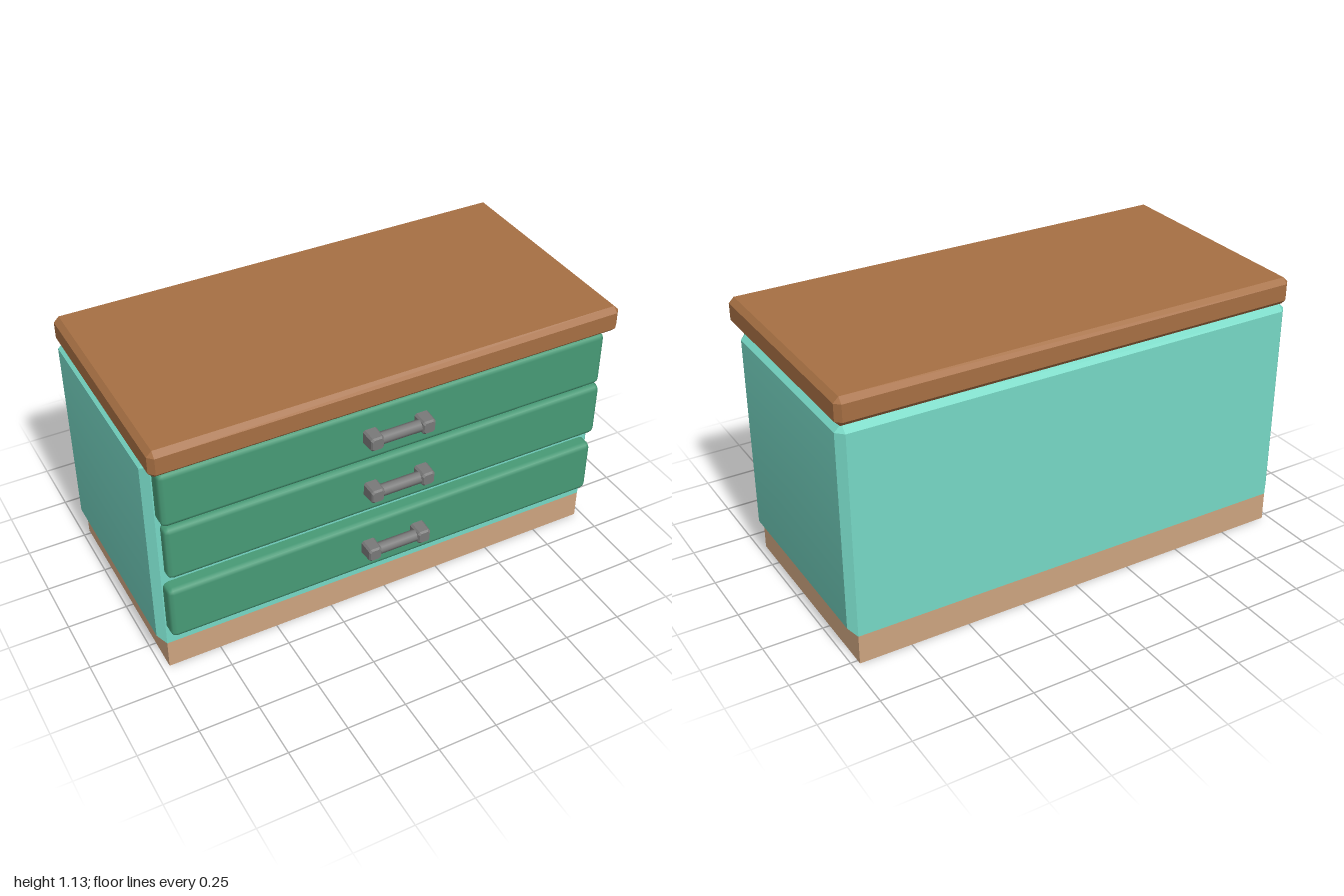
import * as THREE from 'three';
import { ConvexGeometry } from 'three/addons/geometries/ConvexGeometry.js';
import { RoundedBoxGeometry } from 'three/addons/geometries/RoundedBoxGeometry.js';

const makeMaterial = (name, color) => {
  const m = new THREE.MeshStandardMaterial({ color });
  m.name = name;
  return m;
};

const addMesh = (parent, name, geometry, material, x = 0, y = 0, z = 0) => {
  const mesh = new THREE.Mesh(geometry, material);
  mesh.name = name;
  mesh.position.set(x, y, z);
  parent.add(mesh);
  return mesh;
};

// Box with every edge cut by a flat bevel b
function bevelBox(w, h, d, b) {
  const pts = [];
  for (const x of [-w / 2, w / 2]) for (const y of [-h / 2, h / 2]) for (const z of [-d / 2, d / 2]) {
    const ix = x - Math.sign(x) * b, iy = y - Math.sign(y) * b, iz = z - Math.sign(z) * b;
    pts.push(new THREE.Vector3(x, iy, iz), new THREE.Vector3(ix, y, iz), new THREE.Vector3(ix, iy, z));
  }
  return new ConvexGeometry(pts);
}

// Carcass: flat front and back, side panels standing proud with bevelled borders
function carcassGeometry() {
  const pts = [];
  for (const s of [-1, 1]) {
    for (const y of [0.125, 1.0]) pts.push(new THREE.Vector3(s * 0.97, y, 0.39));
    for (const y of [0.125, 0.99]) pts.push(new THREE.Vector3(s * 0.97, y, -0.52));
    for (const z of [0.36, -0.49]) {
      pts.push(new THREE.Vector3(s * 0.97, 1.018, z));
      for (const y of [0.155, 0.99]) pts.push(new THREE.Vector3(s, y, z));
    }
  }
  const geo = new ConvexGeometry(pts);
  // Soften the lower border of the side panels
  const p = geo.attributes.position, n = geo.attributes.normal;
  for (let i = 0; i < p.count; i++) {
    const nx = n.getX(i);
    const onSide = Math.abs(nx) > 0.95 || (Math.abs(nx) > 0.5 && n.getY(i) < -0.5);
    if (onSide && Math.abs(p.getX(i)) > 0.99 && p.getY(i) < 0.2) {
      n.setXYZ(i, Math.sign(nx) * 0.92, -0.38, 0);
    }
  }
  return geo;
}

// Handle post: chamfered block that narrows towards the front
function postGeometry() {
  const pts = [];
  for (const [z, w, h] of [[0, 0.03, 0.032], [0.062, 0.028, 0.029], [0.07, 0.023, 0.023]]) {
    const c = 0.008;
    for (const sx of [-1, 1]) for (const sy of [-1, 1]) {
      pts.push(new THREE.Vector3(sx * w, sy * (h - c), z), new THREE.Vector3(sx * (w - c), sy * h, z));
    }
  }
  return new ConvexGeometry(pts);
}

export function createModel() {
  const group = new THREE.Group();
  group.name = 'drawerChest';
  const teal = makeMaterial('teal paint', 0x76d7c4);
  const green = makeMaterial('green paint', 0x479a76);
  const brown = makeMaterial('brown wood', 0xa66f43);
  const tan = makeMaterial('tan wood', 0xcca37f);
  const grey = makeMaterial('grey metal', 0x787878);

  addMesh(group, 'plinth', new THREE.BoxGeometry(1.94, 0.125, 0.91), tan, 0, 0.0625, -0.065);
  addMesh(group, 'carcass', carcassGeometry(), teal);
  addMesh(group, 'top', bevelBox(2, 0.115, 1, 0.022), brown, 0, 1.0725, -0.02);

  // Drawers from top to bottom: centre x, centre y, back z, front z
  const drawers = [
    [-0.002, 0.878, 0.35, 0.45],
    [0.002, 0.626, 0.394, 0.455],
    [-0.002, 0.322, 0.35, 0.45],
  ];
  const post = postGeometry();
  const bar = new THREE.CylinderGeometry(0.025, 0.025, 0.2, 8).rotateZ(Math.PI / 2);
  for (const [x, y, back, front] of drawers) {
    const drawer = new THREE.Group();
    drawer.name = 'drawer';
    drawer.position.set(x, y, 0);
    group.add(drawer);
    addMesh(drawer, 'drawerFront', new RoundedBoxGeometry(1.926, 0.244, front - back, 1, 0.022),
      green, 0, 0, (front + back) / 2);

    const handle = new THREE.Group();
    handle.name = 'handle';
    handle.position.z = front;
    drawer.add(handle);
    for (const s of [-1, 1]) addMesh(handle, 'handlePost', post, grey, s * 0.112, 0, -0.004);
    addMesh(handle, 'handleBar', bar, grey, 0, 0, 0.035);
  }

  // Thin mounting plate behind the middle drawer
  addMesh(group, 'mountingPlate', new THREE.BoxGeometry(0.3, 0.16, 0.009), grey, 0, 0.622, 0.3915);
  return group;
}
